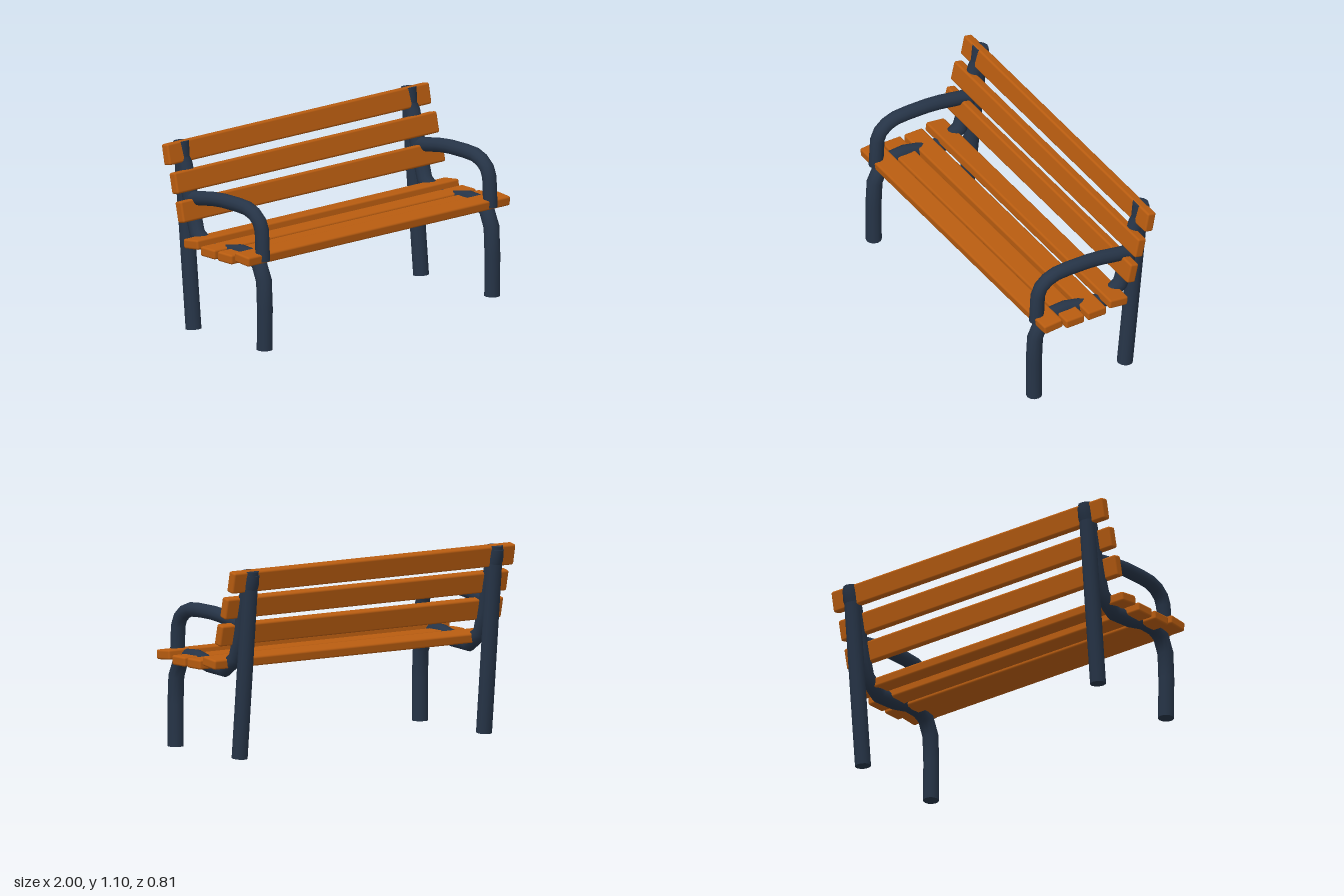
import * as THREE from 'three';
import { RoundedBoxGeometry } from 'three/addons/geometries/RoundedBoxGeometry.js';

const wood = new THREE.MeshStandardMaterial({ color: 0xb85c10 });
wood.name = 'orangeWood';
const metal = new THREE.MeshStandardMaterial({ color: 0x263447 });
metal.name = 'darkMetal';

// Polyline with one tube ring per bend, each ring set on the bisector.
class BentPath extends THREE.Curve {
  constructor(points) {
    super();
    this.points = points.map(([z, y]) => new THREE.Vector3(0, y, z));
  }
  getPoint(t) {
    return this.points[Math.round(t * (this.points.length - 1))].clone();
  }
  getPointAt(t) {
    return this.getPoint(t);
  }
  getTangentAt(t) {
    const p = this.points, last = p.length - 1, i = Math.round(t * last);
    const into = p[Math.max(i, 1)].clone().sub(p[Math.max(i, 1) - 1]).normalize();
    const out = p[Math.min(i, last - 1) + 1].clone().sub(p[Math.min(i, last - 1)]).normalize();
    return into.add(out).normalize();
  }
}

// Capped pipe through [z, y] points.
function pipe(name, points, radius) {
  const group = new THREE.Group();
  group.name = name;
  const path = new BentPath(points);
  group.add(new THREE.Mesh(new THREE.TubeGeometry(path, points.length - 1, radius, 12), metal));
  for (const [t, sign] of [[0, -1], [1, 1]]) {
    const cap = new THREE.Mesh(new THREE.CircleGeometry(radius, 12), metal);
    cap.position.copy(path.getPointAt(t));
    cap.lookAt(cap.position.clone().addScaledVector(path.getTangentAt(t), sign));
    group.add(cap);
  }
  group.children.forEach((mesh) => { mesh.name = name; });
  return group;
}

// Long board at z, y, tilted about x.
function slat(name, z, y, tilt) {
  const mesh = new THREE.Mesh(new RoundedBoxGeometry(2, 0.056, 0.123, 2, 0.012), wood);
  mesh.name = name;
  mesh.position.set(0, y, z);
  mesh.rotation.x = tilt;
  return mesh;
}

export function createModel() {
  const bench = new THREE.Group();
  bench.name = 'bench';

  // Side frames
  for (const [side, x] of [['left', 0.868], ['right', -0.868]]) {
    const frame = new THREE.Group();
    frame.name = side + 'Frame';
    frame.position.x = x;
    frame.add(
      pipe('rearLeg', [[-0.251, 0.005], [-0.357, 1.092]], 0.046),
      // front leg, seat support and back support in one pipe
      pipe('seatSupport', [
        [0.355, 0.006], [0.357, 0.25], [0.349, 0.41], [0.308, 0.502], [0.25, 0.532],
        [0.153, 0.538], [0.03, 0.51], [-0.108, 0.5], [-0.22, 0.575], [-0.265, 0.72],
        [-0.326, 0.96], [-0.357, 1.01], [-0.363, 1.07],
      ], 0.046),
      pipe('armrest', [
        [0.34, 0.525], [0.331, 0.7], [0.31, 0.75], [0.266, 0.787], [0.21, 0.807],
        [0.13, 0.812], [0, 0.811], [-0.088, 0.803], [-0.28, 0.77],
      ], 0.042),
    );
    bench.add(frame);
  }

  // Seat boards
  [[0.304, 0.547, 0.08], [0.158, 0.527, 0], [0.013, 0.527, 0], [-0.131, 0.548, -0.12]]
    .forEach(([z, y, tilt], i) => bench.add(slat('seatSlat' + (i + 1), z, y, tilt)));

  // Backrest boards, leaning back
  [[-0.225, 0.718, 0.22], [-0.276, 0.878, 0.22], [-0.342, 1.034, 0.2]]
    .forEach(([z, y, lean], i) => bench.add(slat('backSlat' + (i + 1), z, y, -Math.PI / 2 - lean)));

  return bench;
}
